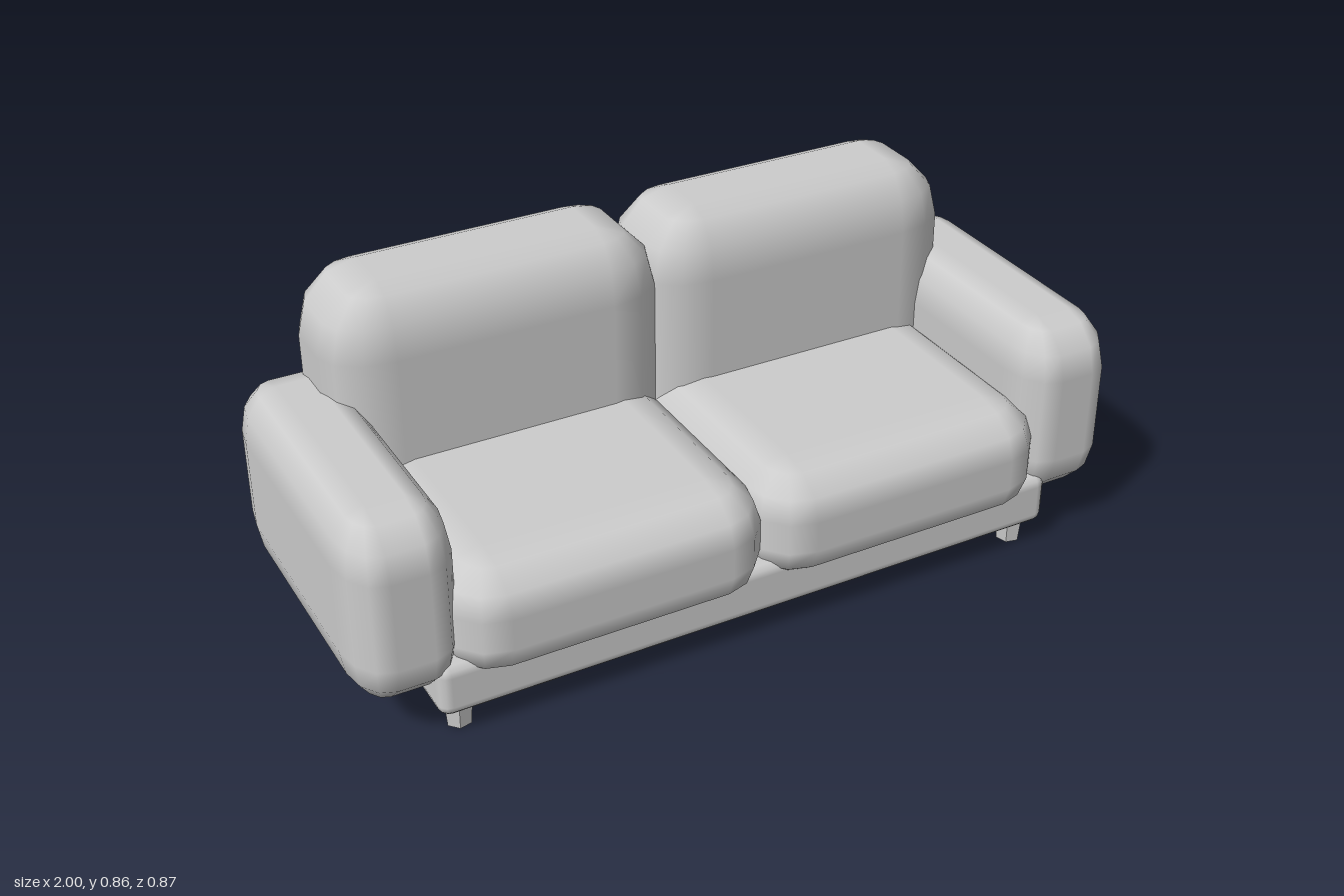
import * as THREE from 'three';

const grey = new THREE.MeshStandardMaterial({ color: 0xcccccc });
grey.name = 'soft grey';
const legGrey = grey.clone();
legGrey.flatShading = true;
legGrey.name = 'leg grey';

// Upholstered block between two corners, with its own rounding radius per axis.
// Each rounded edge has three facets; a 16 x 9 grid is wrapped around the block.
function pillow(name, min, max, radius) {
  const [rx, ry, rz] = radius;
  const c = min.map((v, i) => (v + max[i]) / 2);
  const inner = min.map((v, i) => (max[i] - v) / 2 - radius[i]);
  const geo = new THREE.PlaneGeometry(1, 1, 16, 9);
  const pos = geo.attributes.position, nor = geo.attributes.normal;
  const n = new THREE.Vector3();
  for (let i = 0; i < pos.count; i++) {
    const col = (i % 17) % 16, row = Math.floor(i / 17);
    const top = row < 5, sy = top ? 1 : -1;
    if (row === 0 || row === 9) { // centre of the flat top or bottom
      pos.setXYZ(i, c[0], c[1] + sy * (inner[1] + ry), c[2]);
      nor.setXYZ(i, 0, sy, 0);
      continue;
    }
    const corner = Math.floor(col / 4);
    const theta = (corner + (col % 4) / 3) * Math.PI / 2;
    const phi = (top ? 4 - row : 5 - row) * Math.PI / 6;
    const sx = corner < 2 ? 1 : -1, sz = corner === 0 || corner === 3 ? 1 : -1;
    const x = Math.sin(theta) * Math.cos(phi);
    const y = Math.sin(phi);
    const z = Math.cos(theta) * Math.cos(phi);
    pos.setXYZ(i, c[0] + sx * inner[0] + rx * x, c[1] + sy * inner[1] + ry * y, c[2] + sz * inner[2] + rz * z);
    n.set(x / rx, y / ry, z / rz).normalize();
    nor.setXYZ(i, n.x, n.y, n.z);
  }
  const mesh = new THREE.Mesh(geo, grey);
  mesh.name = name;
  return mesh;
}

export function createModel() {
  const sofa = new THREE.Group();
  sofa.name = 'sofa';

  // Low plinth under the cushions
  sofa.add(pillow('base', [-0.82, 0.06, -0.415], [0.82, 0.2, 0.383], [0.03, 0.03, 0.03]));

  for (const s of [1, -1]) {
    const side = s > 0 ? 'left' : 'right';
    const add = (name, x0, x1, y0, y1, z0, z1, r) => sofa.add(pillow(
      side + name, [Math.min(s * x0, s * x1), y0, z0], [Math.max(s * x0, s * x1), y1, z1], r));

    // Cushions overlap slightly at the middle
    add('SeatCushion', -0.018, 0.79, 0.125, 0.425, -0.3, 0.433, [0.13, 0.11, 0.15]);
    add('BackCushion', -0.021, 0.835, 0.09, 0.856, -0.434, -0.105, [0.155, 0.165, 0.105]);
    add('Arm', 0.738, 1, 0.115, 0.6, -0.415, 0.395, [0.087, 0.13, 0.13]);

    // Tapered feet
    for (const [end, z] of [['Front', 0.322], ['Back', -0.352]]) {
      const leg = new THREE.Mesh(new THREE.CylinderGeometry(0.038, 0.031, 0.08, 6), legGrey);
      leg.name = side + end + 'Leg';
      leg.position.set(s * 0.758, 0.04, z);
      leg.rotation.y = s * 0.3;
      sofa.add(leg);
    }
  }
  return sofa;
}
